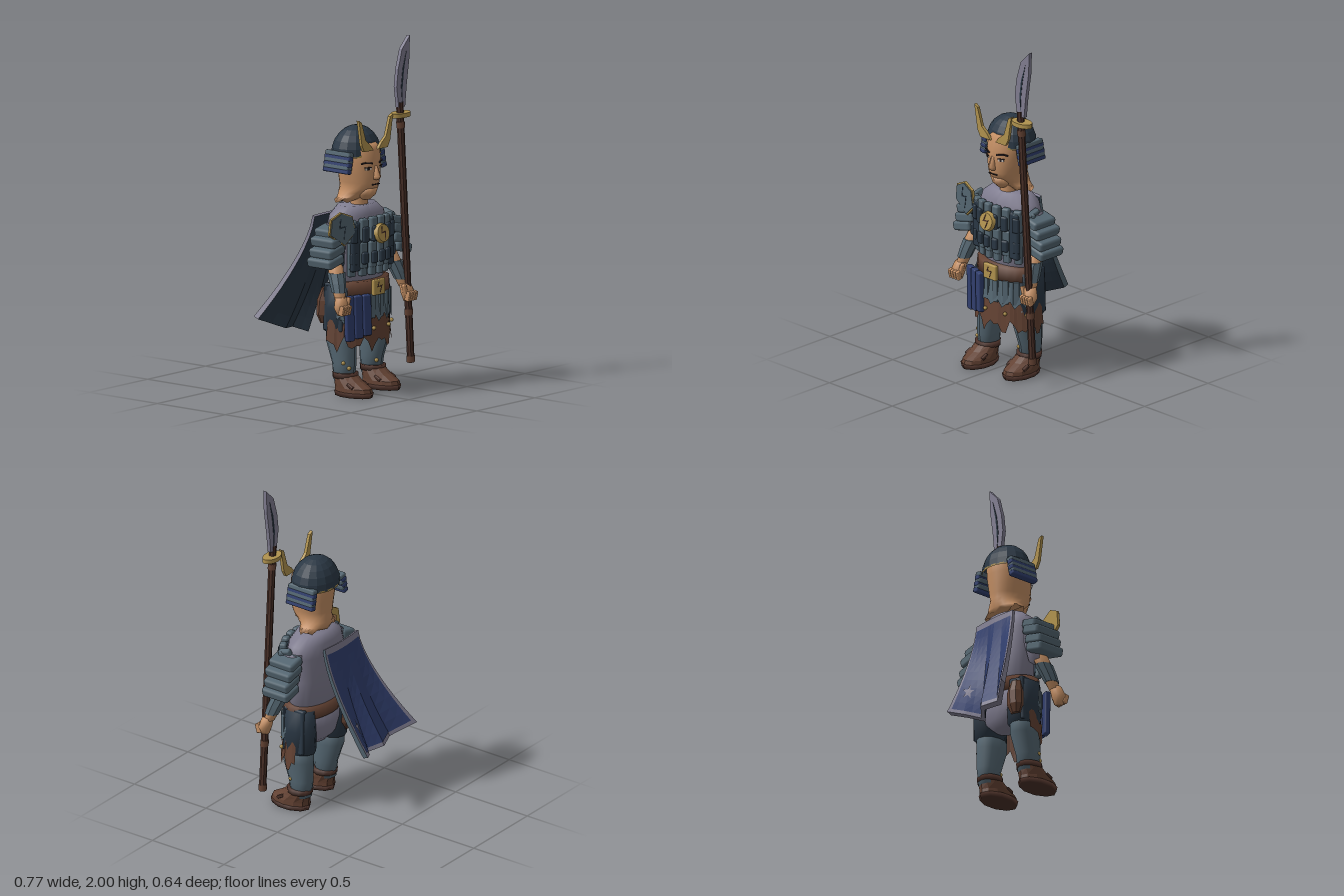
import * as THREE from 'three';
import { RoundedBoxGeometry } from 'three/addons/geometries/RoundedBoxGeometry.js';

const CX = 0.0275; // the body's centre line
const mat = (name, color) => new THREE.MeshStandardMaterial({ name, color, side: THREE.DoubleSide });

export function createModel() {
  const model = new THREE.Group();
  const slate = mat('slate armour', 0x546671), steel = mat('dark steel', 0x2a3744), cloth = mat('grey cloth', 0x807d90);
  const gold = mat('gold', 0xb0924e), brown = mat('brown leather', 0x624132), dark = mat('dark wood', 0x4a3028);
  const skin = mat('skin', 0xc48f64), navy = mat('navy cloth', 0x313f6e), ink = mat('ink', 0x241c1e), white = mat('eye white', 0xc9c0b8);

  const add = (name, geo, material, x = 0, y = 0, z = 0, rx = 0, ry = 0, rz = 0) => {
    const m = new THREE.Mesh(geo, material);
    m.name = name;
    m.position.set(x, y, z);
    m.rotation.set(rx, ry, rz);
    model.add(m);
    return m;
  };
  const plate = (name, material, w, h, d, x, y, z, rx, ry, rz) =>
    add(name, new RoundedBoxGeometry(w, h, d, 1, Math.min(w, h, d) * 0.28), material, x, y, z, rx, ry, rz);
  const box = (name, material, w, h, d, ...at) => add(name, new THREE.BoxGeometry(w, h, d), material, ...at);

  // Rows of points joined into a surface
  const surface = (us, vs, fn) => {
    const pos = [], idx = [], n = us.length;
    for (const v of vs) for (const u of us) pos.push(...fn(u, v));
    for (let i = 0; i < vs.length - 1; i++) for (let j = 0; j < n - 1; j++) {
      const a = i * n + j, b = a + n;
      idx.push(a, a + 1, b + 1, a, b + 1, b);
    }
    const g = new THREE.BufferGeometry();
    g.setAttribute('position', new THREE.Float32BufferAttribute(pos, 3));
    g.setIndex(idx);
    g.computeVertexNormals();
    return g;
  };
  const steps = (n, a = 0, b = 1) => Array.from({ length: n + 1 }, (_, i) => a + (b - a) * i / n);
  const flat = g => { const f = g.toNonIndexed(); f.computeVertexNormals(); return f; };

  // Stacked ellipses, bottom to top: [y, x, z, rx, rz]
  const loft = (rings, sides = 16, jag = 0) => {
    const f = rings[0], l = rings[rings.length - 1];
    const all = [[f[0], f[1], f[2], 0, 0], ...rings, [l[0], l[1], l[2], 0, 0]];
    return surface(steps(sides), all.map((_, i) => i), (u, i) => {
      const [y, x, z, rx, rz] = all[i], t = u * Math.PI * 2;
      const drop = i === 1 ? jag * Math.sin(u * sides * 2.2) : 0;
      return [x + Math.sin(t) * rx, y + drop, z + Math.cos(t) * rz];
    });
  };
  const extrude = (points, depth) =>
    new THREE.ExtrudeGeometry(new THREE.Shape(points.map(p => new THREE.Vector2(...p))), { depth, bevelEnabled: false });
  const stud = (x, y, z, r = 0.012) => add('stud', new THREE.SphereGeometry(r, 8, 6), gold, x, y, z);

  // Head with a ragged nape, chin and neck
  add('head', loft([
    [1.095, CX, 0.07, 0.15, 0.068], [1.115, CX, 0.075, 0.117, 0.078], [1.14, CX, 0.088, 0.1, 0.1],
    [1.17, CX, 0.108, 0.093, 0.118], [1.2, CX, 0.11, 0.097, 0.124], [1.25, CX, 0.11, 0.108, 0.128], [1.32, CX, 0.105, 0.118, 0.13],
    [1.39, CX, 0.1, 0.116, 0.128], [1.425, CX, 0.1, 0.09, 0.108]], 22, 0.01), skin);
  add('chin', loft([[1.1, CX, 0.155, 0.025, 0.03], [1.13, CX, 0.165, 0.055, 0.05], [1.17, CX, 0.175, 0.06, 0.055]], 12), skin);
  add('neck', new THREE.CylinderGeometry(0.05, 0.05, 0.13, 12), skin, CX, 1.08, 0.11);
  add('nose', loft([[1.222, CX, 0.235, 0.022, 0.02], [1.24, CX, 0.238, 0.022, 0.028], [1.3, CX, 0.228, 0.01, 0.012]], 8), skin);
  box('mouth', ink, 0.06, 0.006, 0.008, CX, 1.193, 0.232);
  for (const s of [-1, 1]) {
    box('eye', white, 0.036, 0.012, 0.008, CX + s * 0.052, 1.285, 0.22, 0, s * 0.4, 0);
    box('pupil', ink, 0.013, 0.012, 0.008, CX + s * 0.052, 1.285, 0.223, 0, s * 0.4, 0);
    box('eyelid', ink, 0.042, 0.005, 0.009, CX + s * 0.052, 1.293, 0.222, 0, s * 0.4, 0);
    box('brow', ink, 0.045, 0.008, 0.009, CX + s * 0.048, 1.318, 0.224, 0, s * 0.4, s * 0.15);
    box('brow end', ink, 0.025, 0.008, 0.009, CX + s * 0.08, 1.318, 0.207, 0, s * 0.7, s * -0.3);
  }

  // Helmet with gold rim, horns and side guards
  const dome = add('helmet', flat(new THREE.SphereGeometry(1, 16, 6, 0, Math.PI * 2, 0, Math.PI / 2)), steel, CX, 1.355, 0.087);
  dome.scale.set(0.153, 0.16, 0.13);
  const rim = add('helmet rim', new THREE.CylinderGeometry(1, 1, 0.012, 24, 1, true), gold, CX, 1.355, 0.087);
  rim.scale.set(0.15, 1, 0.129);
  const horn = [[0.02, 1.39], [0.1, 1.39], [0.122, 1.43], [0.147, 1.575], [0.122, 1.56], [0.088, 1.455], [0.05, 1.425]];
  for (const s of [-1, 1]) {
    add('horn', extrude(horn.map(([x, y]) => [CX + s * x, y]), 0.018), gold, 0, 0, 0.216);
    for (let i = 0; i < 3; i++) {
      plate('neck guard', slate, 0.045, 0.03, 0.18, CX + s * (0.132 + i * 0.007), 1.366 - i * 0.036, 0.077, 0, 0, s * 0.2);
      plate('neck guard lacing', navy, 0.04, 0.028, 0.186, CX + s * (0.138 + i * 0.007), 1.346 - i * 0.036, 0.077, 0, 0, s * 0.2);
    }
  }

  // Body
  add('shirt', loft([
    [0.58, CX, 0.09, 0.185, 0.11], [0.8, CX, 0.09, 0.19, 0.12], [0.95, CX, 0.09, 0.215, 0.122],
    [1.02, CX, 0.09, 0.195, 0.112], [1.07, CX, 0.09, 0.13, 0.085]], 24), cloth);
  add('hips', loft([
    [0.38, CX, 0.09, 0.07, 0.06], [0.42, CX, 0.09, 0.15, 0.095], [0.5, CX, 0.09, 0.185, 0.11], [0.6, CX, 0.09, 0.185, 0.11]], 20), cloth);

  // Chest armour: columns of laced plates
  for (let i = 0; i < 8; i++) {
    const a = (i - 3.5) / 3.5, x = CX + a * 0.222, z = 0.25 - a * a * 0.085, ry = a * 0.65;
    plate('chest plate', slate, 0.05, 0.13, 0.04, x, 0.95 - a * a * 0.02, z - 0.012, 0, ry, 0);
    plate('chest lacing', steel, 0.044, 0.09, 0.04, x, 0.92, z, 0, ry, 0);
    plate('belly plate', slate, 0.05, 0.15, 0.035, x, 0.8, z - 0.017, 0, ry, 0);
    plate('belly lacing', steel, 0.044, 0.07, 0.04, x, 0.785, z - 0.005, 0, ry, 0);
    if (Math.abs(a) < 0.8) plate('lower plate', slate, 0.046, 0.065, 0.035, x, 0.713, z - 0.02, 0, ry, 0);
  }
  plate('breastplate backing', steel, 0.36, 0.28, 0.05, CX, 0.85, 0.195);
  const zigzag = [[-0.01, 0.04], [-0.004, 0.04], [-0.012, 0.008], [0.02, 0.012], [0.004, -0.04], [-0.001, -0.04], [0.011, 0.004], [-0.022, 0]];
  const tilt = -0.2;
  add('medallion', new THREE.CylinderGeometry(0.05, 0.058, 0.022, 16), gold, CX, 0.92, 0.28, Math.PI / 2 + tilt, 0, 0);
  add('medallion groove', extrude(zigzag, 0.004), dark, CX, 0.92, 0.289, tilt, 0, 0);

  // Arms, straps and shoulder armour
  for (const s of [-1, 1]) {
    const X = d => CX + s * d;
    plate('shoulder strap', slate, 0.04, 0.035, 0.07, X(0.115), 1.025, 0.14, 0.6, s * -0.3, 0);
    plate('shoulder buckle', slate, 0.035, 0.04, 0.08, X(0.22), 0.985, 0.135, 0.3, 0, s * -0.4);
    [[0.245, 0.945, 0.11], [0.265, 0.9, 0.13], [0.28, 0.84, 0.135], [0.293, 0.785, 0.13]].forEach(([d, y, w], i) =>
      plate('shoulder guard', slate, w, 0.055, 0.165 + (i % 2) * 0.012, X(d), y, 0.112, 0, 0, s * -0.24));
    add('sleeve', loft([[0.74, X(0.222), 0.12, 0.045, 0.05], [0.85, X(0.215), 0.11, 0.06, 0.065], [0.98, X(0.19), 0.1, 0.05, 0.06]], 12), cloth);
    add('forearm', loft([[0.57, X(0.275), 0.205, 0.032, 0.032], [0.7, X(0.25), 0.155, 0.043, 0.045], [0.78, X(0.23), 0.125, 0.042, 0.046]], 12), skin);
    add('bracer', flat(loft([[0.61, X(0.268), 0.19, 0.04, 0.042], [0.66, X(0.258), 0.172, 0.045, 0.048], [0.715, X(0.245), 0.15, 0.05, 0.052]], 8)), slate);
    add('hand', loft([[0.485, X(0.285), 0.225, 0.026, 0.026], [0.53, X(0.288), 0.222, 0.046, 0.036], [0.585, X(0.275), 0.21, 0.036, 0.032]], 12), skin);
    for (let i = 0; i < 4; i++) plate('finger', skin, 0.019, 0.055, 0.03, X(0.255 + i * 0.02), 0.515, 0.25, 0.25, 0, 0);
    plate('thumb', skin, 0.022, 0.06, 0.026, X(0.246), 0.555, 0.235, 0, 0, s * 0.3);
  }

  // Six-sided crest standing before the right shoulder
  const hex = [[-0.315, 0.94], [-0.303, 1.03], [-0.23, 1.065], [-0.15, 1.035], [-0.13, 0.94], [-0.205, 0.87]];
  const inset = hex.map(([x, y]) => [-0.22 + (x + 0.22) * 0.92, 0.965 + (y - 0.965) * 0.92]);
  const bolt = [[-0.24, 1.03], [-0.234, 1.03], [-0.24, 0.98], [-0.2, 0.985], [-0.215, 0.91], [-0.208, 0.977], [-0.248, 0.972]];
  const crest = new THREE.Group();
  crest.name = 'shoulder crest';
  for (const [points, depth, z, material] of [[hex, 0.015, 0, gold], [inset, 0.012, 0.008, slate], [bolt, 0.004, 0.018, steel]]) {
    const m = new THREE.Mesh(extrude(points, depth), material);
    m.position.z = z;
    crest.add(m);
  }
  crest.position.set(-0.005, 0, 0.232);
  crest.rotation.y = -0.2;
  model.add(crest);

  // Belt, buckle and pouches
  add('belt', loft([[0.57, CX, 0.108, 0.21, 0.138], [0.65, CX, 0.108, 0.206, 0.136]], 24), brown);
  plate('buckle', gold, 0.1, 0.09, 0.025, CX, 0.61, 0.25);
  add('buckle groove', extrude(zigzag.map(([x, y]) => [x, y * 0.8]), 0.004), dark, CX, 0.61, 0.26);
  add('back pouch', flat(loft([[0.4, -0.145, 0.005, 0.03, 0.025], [0.45, -0.145, 0.002, 0.052, 0.042], [0.53, -0.142, 0.005, 0.05, 0.044], [0.6, -0.138, 0.015, 0.032, 0.03]], 8)), brown);
  for (let i = 0; i < 3; i++)
    plate('navy sash', navy, 0.054, 0.26 - i * 0.012, 0.035, -0.172 + i * 0.053, 0.45 + i * 0.006, 0.207 + i * 0.018, 0, -0.35, 0.03);

  // Tattered skirt and its armour strips
  const skirt = (n, span, top, r0, r1, bottom) => flat(surface(steps(n, -span, span), [0, 1], (t, v) => {
    const k = Math.round((t + span) / (2 * span) * n), r = r0 + (r1 - r0) * v;
    return [CX + Math.sin(t) * (0.2 + r), v ? bottom(k) : top, 0.09 + Math.cos(t) * (0.13 + r)];
  }));
  add('leather skirt', skirt(30, 1.75, 0.57, 0.004, 0.034, k => 0.295 + 0.03 * Math.sin(k * 1.3) + 0.022 * Math.cos(k * 4.1)), brown);
  add('skirt strips', skirt(22, 1.3, 0.585, 0.012, 0.034, k => 0.435 + 0.024 * Math.sin(k * 2.1)), slate);
  for (let i = 0; i < 8; i++) {
    const t = -1.1 + i * 0.31;
    plate('skirt rib', slate, 0.035, 0.14, 0.015, CX + Math.sin(t) * 0.224, 0.505, 0.09 + Math.cos(t) * 0.154, 0, t, 0);
    if (i % 2) stud(CX + Math.sin(t) * 0.236, 0.38, 0.09 + Math.cos(t) * 0.166);
  }

  // Legs and boots: the right foot stands a little ahead
  for (const s of [-1, 1]) {
    const x = CX + s * 0.143, z = s < 0 ? 0.03 : -0.012;
    add('leg', loft([[0.08, x, z + 0.09, 0.055, 0.06], [0.18, x, z + 0.092, 0.06, 0.075], [0.3, x, 0.1, 0.07, 0.095], [0.4, x, 0.1, 0.07, 0.095]], 12), slate);
    add('thigh', loft([[0.36, x, 0.09, 0.078, 0.1], [0.5, x, 0.092, 0.082, 0.105], [0.62, x, 0.092, 0.075, 0.1]], 10), steel);
    plate('thigh guard', steel, 0.035, 0.27, 0.14, CX + s * 0.19, 0.5, 0.09, 0, 0, s * 0.04);
    add('boot sole', loft([[0, x, z + 0.163, 0.075, 0.124], [0.028, x, z + 0.163, 0.082, 0.13]], 10), dark);
    add('boot', flat(loft([[0.028, x, z + 0.163, 0.076, 0.124], [0.05, x, z + 0.16, 0.075, 0.12], [0.085, x, z + 0.125, 0.07, 0.09], [0.12, x, z + 0.1, 0.064, 0.068]], 12)), brown);
    add('boot cuff', loft([[0.1, x, z + 0.1, 0.07, 0.074], [0.13, x, z + 0.1, 0.073, 0.076]], 12), dark);
    plate('boot strap', dark, 0.145, 0.018, 0.045, x, 0.065, z + 0.19, 0.5, 0, 0);
    stud(x - 0.03, 0.16, z + 0.152);
    stud(x + s * 0.05, 0.19, z + 0.128);
  }

  // Spear
  const shaft = new THREE.LineCurve3(new THREE.Vector3(0.337, 0.13, 0.226), new THREE.Vector3(0.24, 1.63, 0.226));
  add('spear shaft', flat(new THREE.TubeGeometry(shaft, 1, 0.021, 8)), dark);
  for (const y of [0.15, 0.42, 1.5])
    add('shaft band', new THREE.CylinderGeometry(0.024, 0.024, 0.035, 8), brown, 0.345 - y * 0.0647, y, 0.226, 0, 0, 0.065);
  const guard = add('spear guard', new THREE.CylinderGeometry(1, 1, 0.025, 20), gold, 0.25, 1.557, 0.224);
  guard.scale.set(0.07, 1, 0.043);
  add('blade', extrude([[0.222, 1.6], [0.204, 1.72], [0.217, 1.82], [0.25, 1.93], [0.318, 2], [0.313, 1.87], [0.29, 1.72], [0.277, 1.6]], 0.022), cloth, 0, 0, 0.213);
  const ridge = [[0.25, 1.63], [0.242, 1.72], [0.255, 1.82], [0.288, 1.92], [0.265, 1.81], [0.254, 1.72]];
  for (const z of [0.21, 0.234]) add('blade groove', extrude(ridge, 0.003), steel, 0, 0, z);

  // Cape: folds deepen towards the hem; d moves a point inwards
  const folds = [[0, -0.385, -0.315, 0.43], [0.25, -0.25, -0.225, 0.37], [0.45, -0.15, -0.262, 0.36], [0.62, -0.085, -0.2, 0.33], [0.85, -0.01, -0.265, 0.36], [1, 0.075, -0.315, 0.39]];
  const cape = (u, v, d = 0) => {
    let i = 0;
    while (i < 4 && u > folds[i + 1][0]) i++;
    const a = folds[i], b = folds[i + 1], t = (u - a[0]) / (b[0] - a[0]);
    const [hx, hz, hy] = [1, 2, 3].map(k => a[k] + (b[k] - a[k]) * t);
    const x0 = -0.185 + 0.31 * u, z0 = -0.052 - 0.012 * Math.cos((u - 0.5) * 3), k = d * (0.5 + 0.5 * v);
    return [x0 + (hx - x0) * Math.pow(v, 1.5), 1.01 + (hy - 1.01) * v - k * 0.38, z0 + (hz - z0) * Math.pow(v, 1.4) + k * 0.92];
  };
  const us = [0, 0.035, 0.12, 0.25, 0.35, 0.45, 0.54, 0.62, 0.74, 0.85, 0.92, 0.965, 1], vs = steps(10);
  add('cape border', flat(surface(us, vs, (u, v) => cape(u, v))), cloth);
  add('cape lining', flat(surface(us, vs, (u, v) => cape(u, v, 0.034))), steel);
  add('cape field', flat(surface(us.slice(1, -1), steps(10, 0.06, 0.965), (u, v) => cape(u, v, -0.005))), navy);
  for (const e of [0, 1]) {
    add('cape side edge', flat(surface([0, 0.034], vs, (d, v) => cape(e, v, d))), e ? slate : cloth);
    add('cape end edge', flat(surface(us, [0, 0.034], (u, d) => cape(u, e, d))), cloth);
  }
  // Star patch following the cape
  add('cape star', surface(steps(10), [0, 1], (u, v) => {
    const r = v * (Math.round(u * 10) % 2 ? 0.4 : 1), t = u * Math.PI * 2;
    return cape(0.84 + Math.sin(t) * r * 0.085, 0.75 - Math.cos(t) * r * 0.085, -0.012);
  }), cloth);
  return model;
}
